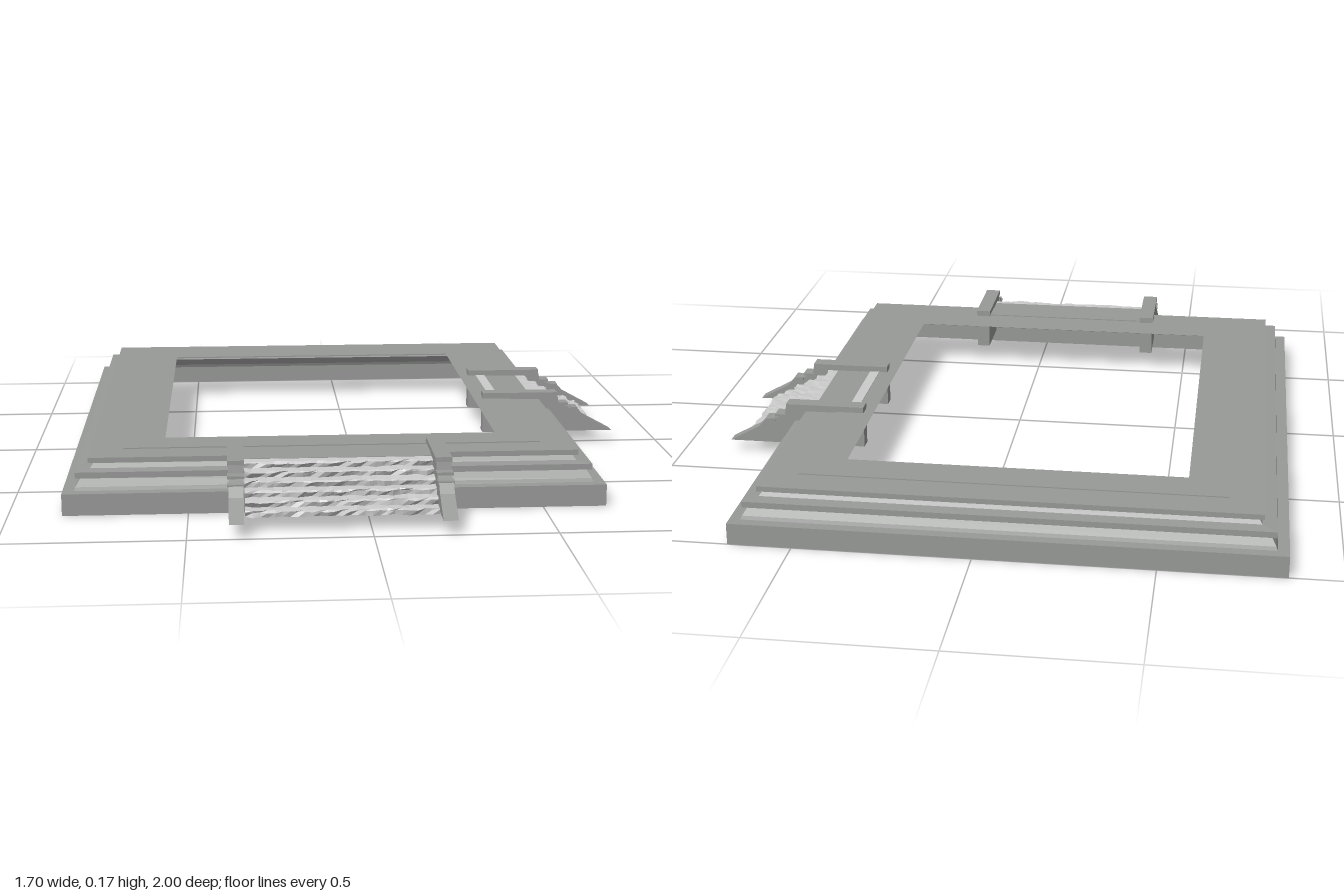
import * as THREE from 'three';

const stone = new THREE.MeshStandardMaterial({ color: 0x989a98, flatShading: true, side: THREE.DoubleSide });
const paleStone = new THREE.MeshStandardMaterial({ color: 0xcccccc, flatShading: true, side: THREE.DoubleSide });

// small seeded random for the worn stone
let seed = 7;
const rand = () => {
  seed = (seed * 16807) % 2147483647;
  return seed / 2147483647 - 0.5;
};

function addMesh(parent, name, geometry, material = stone) {
  const mesh = new THREE.Mesh(geometry, material);
  mesh.name = name;
  parent.add(mesh);
  return mesh;
}

function box(parent, name, w, h, d, x, y, z, material) {
  addMesh(parent, name, new THREE.BoxGeometry(w, h, d), material).position.set(x, y, z);
}

function fromGrid(positions, index) {
  const g = new THREE.BufferGeometry();
  g.setAttribute('position', new THREE.Float32BufferAttribute(positions, 3));
  g.setIndex(index);
  const flat = g.toNonIndexed();
  flat.computeVertexNormals();
  return flat;
}

// rectangular ring swept from a profile of [inset, height] points
function ring(x0, x1, z0, z1, profile) {
  const pos = [], idx = [];
  for (const [d, y] of profile) {
    pos.push(x0 + d, y, z1 - d, x1 - d, y, z1 - d, x1 - d, y, z0 + d, x0 + d, y, z0 + d);
  }
  for (let j = 0; j < profile.length - 1; j++) {
    for (let k = 0; k < 4; k++) {
      const a = j * 4 + k, b = j * 4 + (k + 1) % 4;
      idx.push(a, b, a + 4, b, b + 4, a + 4);
    }
  }
  return fromGrid(pos, idx);
}

// flight of worn steps, running down along +z
function wornSteps(halfWidth, zStart) {
  const count = 6, cols = Math.round(halfWidth * 100);
  const run = 0.21 / count, rise = 0.108 / count;
  const profile = [[zStart, 0.149]];
  for (let s = 0; s < count; s++) {
    const z = zStart + run * (s + 1), y = 0.149 - rise * s;
    profile.push([z - 0.005, y - 0.001], [z, y - 0.005], [z - 0.003, y - rise]);
  }
  const pos = [], idx = [];
  profile.forEach(([z, y], j) => {
    for (let i = 0; i <= cols; i++) {
      const wear = j === 0 ? 0 : 1;
      pos.push(-halfWidth + 2 * halfWidth * i / cols, y + rand() * 0.004 * wear, z + rand() * 0.011 * wear);
    }
  });
  const n = cols + 1;
  for (let j = 0; j < profile.length - 1; j++) {
    for (let i = 0; i < cols; i++) {
      const a = j * n + i;
      idx.push(a, a + n, a + 1, a + 1, a + n, a + n + 1);
    }
  }
  return fromGrid(pos, idx);
}

// stairway with landing and two side walls, starting at z = 0 and running along +z
function stairway(name, inner, outer, landing) {
  const group = new THREE.Group();
  group.name = name;

  const side = new THREE.Shape([
    [0, 0.04], [0.42, 0.04], [0.33, 0.089], [0.305, 0.116], [0.275, 0.121],
    [0.246, 0.13], [0.242, 0.155], [0, 0.155],
  ].map(([x, y]) => new THREE.Vector2(x, y)));
  const wall = new THREE.ExtrudeGeometry(side, { depth: outer - inner - 0.006, bevelEnabled: false });
  wall.rotateY(-Math.PI / 2);

  for (const s of [-1, 1]) {
    const w = outer - inner, mid = s * (inner + outer) / 2;
    addMesh(group, 'stairSideWall', wall).position.x = mid + w / 2 - 0.003;
    box(group, 'sideWallCap', w, 0.015, 0.24, mid, 0.161, 0.12);
    // small mouldings where the wall steps down
    box(group, 'sideWallMoulding', w, 0.008, 0.035, mid, 0.13, 0.258);
    box(group, 'sideWallMoulding', w, 0.008, 0.03, mid, 0.114, 0.292);
  }
  box(group, 'landing', inner * 2, 0.008, landing - 0.02, 0, 0.146, landing / 2 + 0.01);
  addMesh(group, 'wornSteps', wornSteps(inner, landing), paleStone);
  return group;
}

export function createModel() {
  const model = new THREE.Group();
  model.name = 'steppedPlatform';

  // hollow moulded plinth, open underneath
  addMesh(model, 'plinth', ring(-0.85, 0.68, -1, 0.75, [
    [0, 0], [0, 0.062], [0.032, 0.062], [0.036, 0.072], [0.05, 0.095], [0.036, 0.097],
    [0.036, 0.114], [0.075, 0.116], [0.085, 0.13], [0.07, 0.132], [0.07, 0.147], [0.165, 0.147],
  ]));
  // floor around the central opening
  addMesh(model, 'floor', ring(-0.85, 0.68, -1, 0.75, [[0.165, 0.147], [0.165, 0.15], [0.28, 0.15]]));

  const front = stairway('frontStairway', 0.263, 0.31, 0.15);
  front.position.set(-0.08, 0, 0.58);
  model.add(front);

  const left = stairway('leftStairway', 0.155, 0.2, 0.16);
  left.rotation.y = Math.PI / 2;
  left.position.set(0.43, 0, -0.175);
  // pale sill at the inner end of the side landing
  box(left, 'sill', 0.31, 0.004, 0.03, 0, 0.15, 0.04, paleStone);
  model.add(left);

  return model;
}
